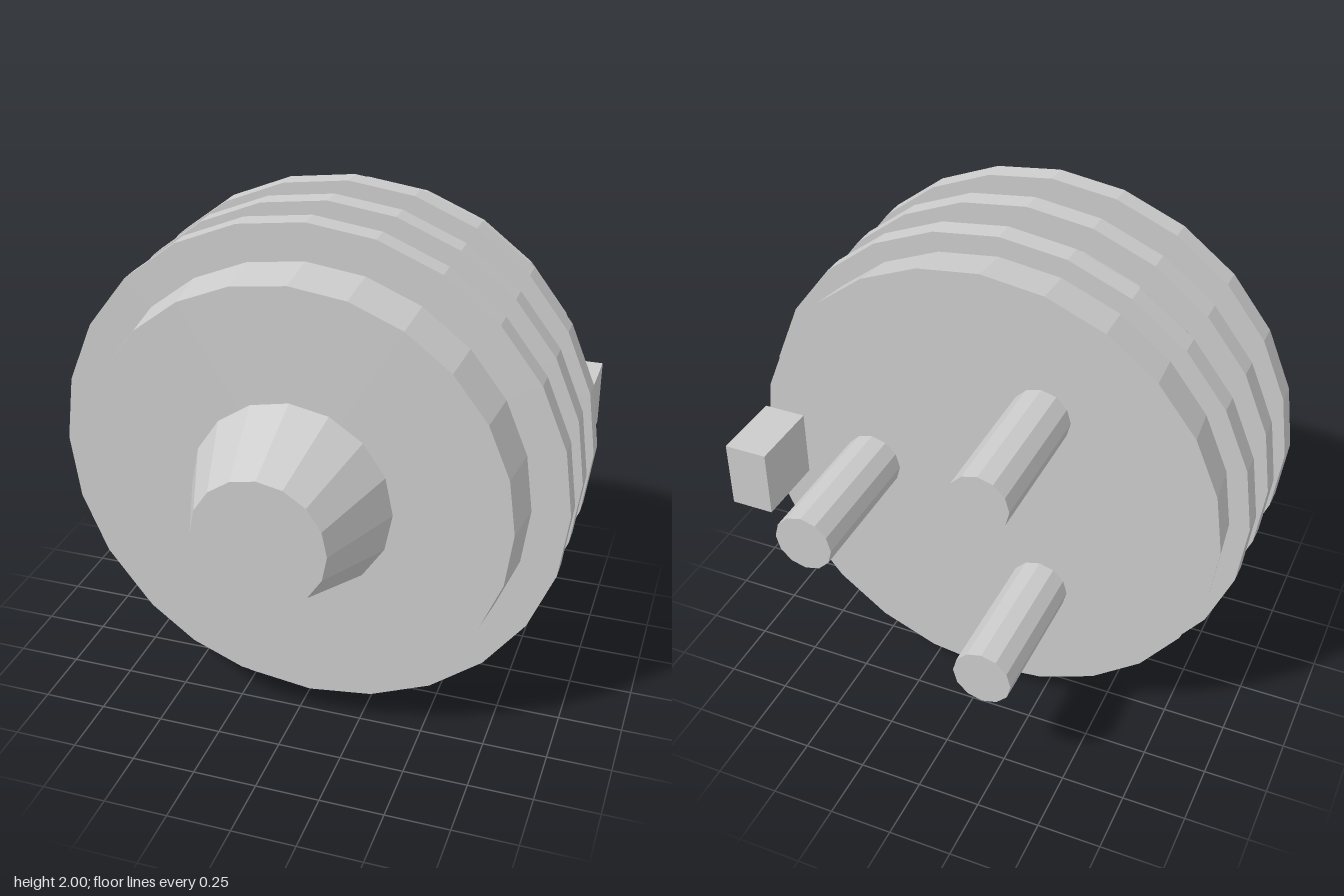
import * as THREE from 'three';

const AXIS_Y = 1; // height of the central axis

export function createModel() {
  const group = new THREE.Group();
  const material = new THREE.MeshStandardMaterial({ color: 0xcccccc, flatShading: true });

  const add = (name, geometry, x, y, z) => {
    const mesh = new THREE.Mesh(geometry, material);
    mesh.name = name;
    mesh.position.set(x, y, z);
    group.add(mesh);
  };

  // Faceted cylinder or cone lying along z, from zBack to zFront
  const addRound = (name, rFront, rBack, zFront, zBack, sides, x = 0, y = AXIS_Y) => {
    const geometry = new THREE.CylinderGeometry(rFront, rBack, zFront - zBack, sides);
    geometry.rotateX(Math.PI / 2);
    add(name, geometry, x, y, (zFront + zBack) / 2);
  };

  // Tapered body and front nozzle
  addRound('body', 0.835, 0.94, 0.57, -0.363, 24);
  addRound('nozzle', 0.255, 0.39, 0.91, 0.57, 16);

  // Three flat grip rings around the body
  for (let i = 0; i < 3; i++) {
    const z = 0.339 - i * 0.246;
    addRound('gripRing' + (i + 1), 1, 1, z + 0.042, z - 0.042, 24);
  }

  // Three prongs spaced evenly on the back
  for (let i = 0; i < 3; i++) {
    const a = (i * Math.PI * 2) / 3;
    addRound('prong' + (i + 1), 0.115, 0.115, -0.363, -0.91, 12,
      0.47 * Math.cos(a), AXIS_Y + 0.47 * Math.sin(a));
  }

  // Small key block behind the left rim
  add('keyBlock', new THREE.BoxGeometry(0.17, 0.27, 0.292), 0.85, 1.003, -0.52);

  return group;
}
